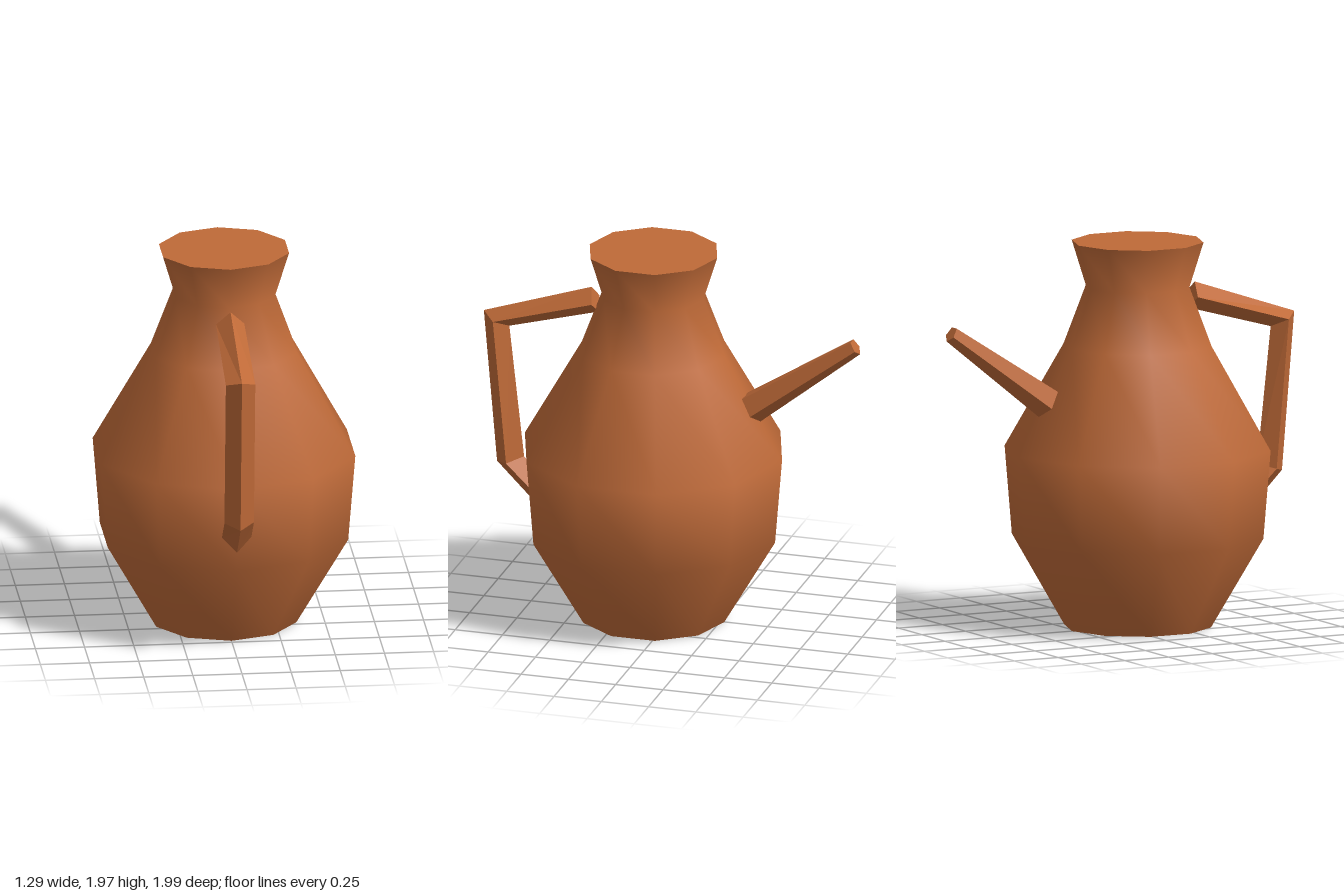
import * as THREE from 'three';

const V = (x, y, z) => new THREE.Vector3(x, y, z);

// Closed faceted solid through rings of equal point count (counter-clockwise seen from the far end)
function loft(rings) {
  const p = [];
  const tri = (a, b, c) => [a, b, c].forEach((v) => p.push(v.x, v.y, v.z));
  const n = rings[0].length;
  for (let k = 0; k < rings.length - 1; k++) {
    const a = rings[k], b = rings[k + 1];
    for (let i = 0; i < n; i++) {
      const j = (i + 1) % n;
      tri(a[i], a[j], b[j]);
      tri(a[i], b[j], b[i]);
    }
  }
  const first = rings[0], last = rings[rings.length - 1];
  for (let i = 1; i < n - 1; i++) {
    tri(first[0], first[i + 1], first[i]);
    tri(last[0], last[i], last[i + 1]);
  }
  const g = new THREE.BufferGeometry();
  g.setAttribute('position', new THREE.Float32BufferAttribute(p, 3));
  g.computeVertexNormals();
  return g;
}

export function createModel() {
  const group = new THREE.Group();
  const clay = new THREE.MeshStandardMaterial({ color: 0xbf6a38 });
  clay.name = 'terracotta';
  const add = (name, geometry, parent = group) => {
    const mesh = new THREE.Mesh(geometry, clay);
    mesh.name = name;
    parent.add(mesh);
    return mesh;
  };

  // Ten-sided, smooth-shaded body with flat closed ends
  const SIDES = 10;
  const profile = [[0.375, 0], [0.643, 0.46], [0.68, 0.91], [0.378, 1.44], [0.265, 1.74], [0.337, 1.97]];
  const jar = new THREE.Group();
  jar.name = 'jar';
  jar.position.z = 0.103;
  group.add(jar);
  add('body', new THREE.LatheGeometry(profile.map(([r, y]) => new THREE.Vector2(r, y)), SIDES), jar);
  const disc = (r) => new THREE.CircleGeometry(r, SIDES, Math.PI / 2);
  add('base', disc(0.375).rotateX(Math.PI / 2), jar);
  add('mouth', disc(0.337).rotateX(-Math.PI / 2), jar).position.y = 1.97;

  // Tapered five-sided spout, flat side up
  const up = V(0, 0.84, 0.545);
  const pentagon = (y, z, r) => Array.from({ length: 5 }, (_, i) => {
    const a = THREE.MathUtils.degToRad(54 + i * 72);
    return V(-r * Math.cos(a), y, z).addScaledVector(up, r * Math.sin(a));
  });
  add('spout', loft([pentagon(1.181, -0.417, 0.085), pentagon(1.57, -0.966, 0.044)]));

  // Diamond-section handle; the upper arm twists a quarter turn into the grip
  const diamond = (inner, side, outer, w) => [
    V(0, ...inner), V(w, ...side), V(0, ...outer), V(-w, ...side),
  ];
  add('handle', loft([
    [V(0.072, 1.67, 0.41), V(0, 1.74, 0.43), V(-0.072, 1.67, 0.41), V(0, 1.61, 0.39)],
    diamond([1.48, 0.865], [1.52, 0.93], [1.55, 1.0], 0.075),
    diamond([0.78, 0.787], [0.76, 0.86], [0.74, 0.93], 0.075),
    diamond([0.71, 0.72], [0.64, 0.735], [0.55, 0.74], 0.075),
  ]));

  return group;
}
